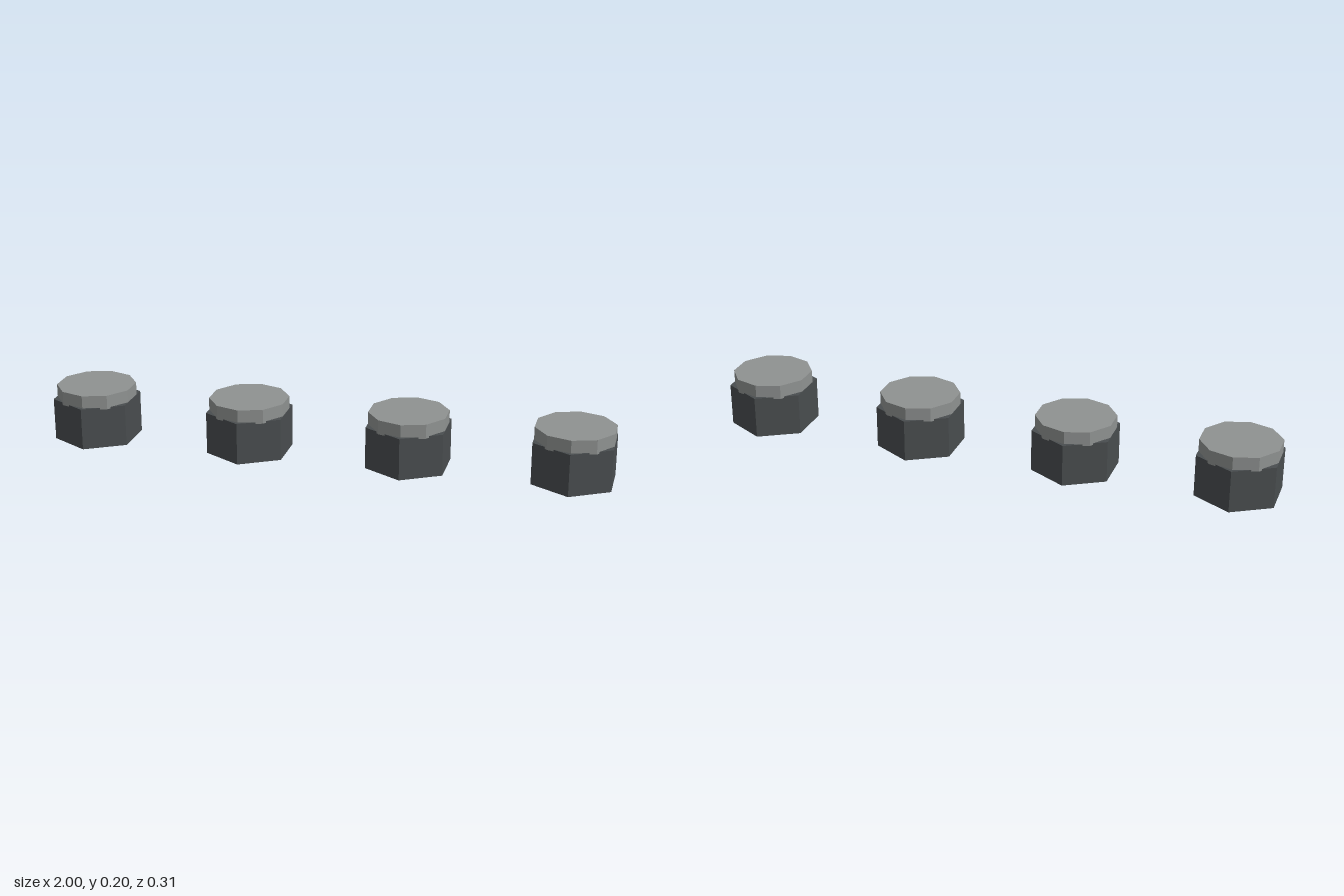
import * as THREE from 'three';

export function createModel() {
  const model = new THREE.Group();
  const darkRubber = new THREE.MeshStandardMaterial({ color: 0x494d4f, flatShading: true });
  darkRubber.name = 'dark grey';
  const lightMetal = new THREE.MeshStandardMaterial({ color: 0x8f9291, flatShading: true });
  lightMetal.name = 'light grey';

  // upright prism standing from y0 to y1, one corner facing +z
  const prism = (name, radius, y0, y1, sides, material) => {
    const geometry = new THREE.CylinderGeometry(radius, radius, y1 - y0, sides);
    const mesh = new THREE.Mesh(geometry, material);
    mesh.name = name;
    mesh.position.y = (y0 + y1) / 2;
    return mesh;
  };

  // row of four identical feet: hexagonal base with a ten-sided cap sunk slightly into it
  [-0.864, -0.288, 0.288, 0.864].forEach((x, i) => {
    const foot = new THREE.Group();
    foot.name = `foot${i + 1}`;
    foot.add(
      prism('hexBase', 0.157, 0, 0.151, 6, darkRubber),
      prism('cap', 0.142, 0.145, 0.196, 10, lightMetal)
    );
    foot.position.x = x;
    model.add(foot);
  });
  return model;
}
